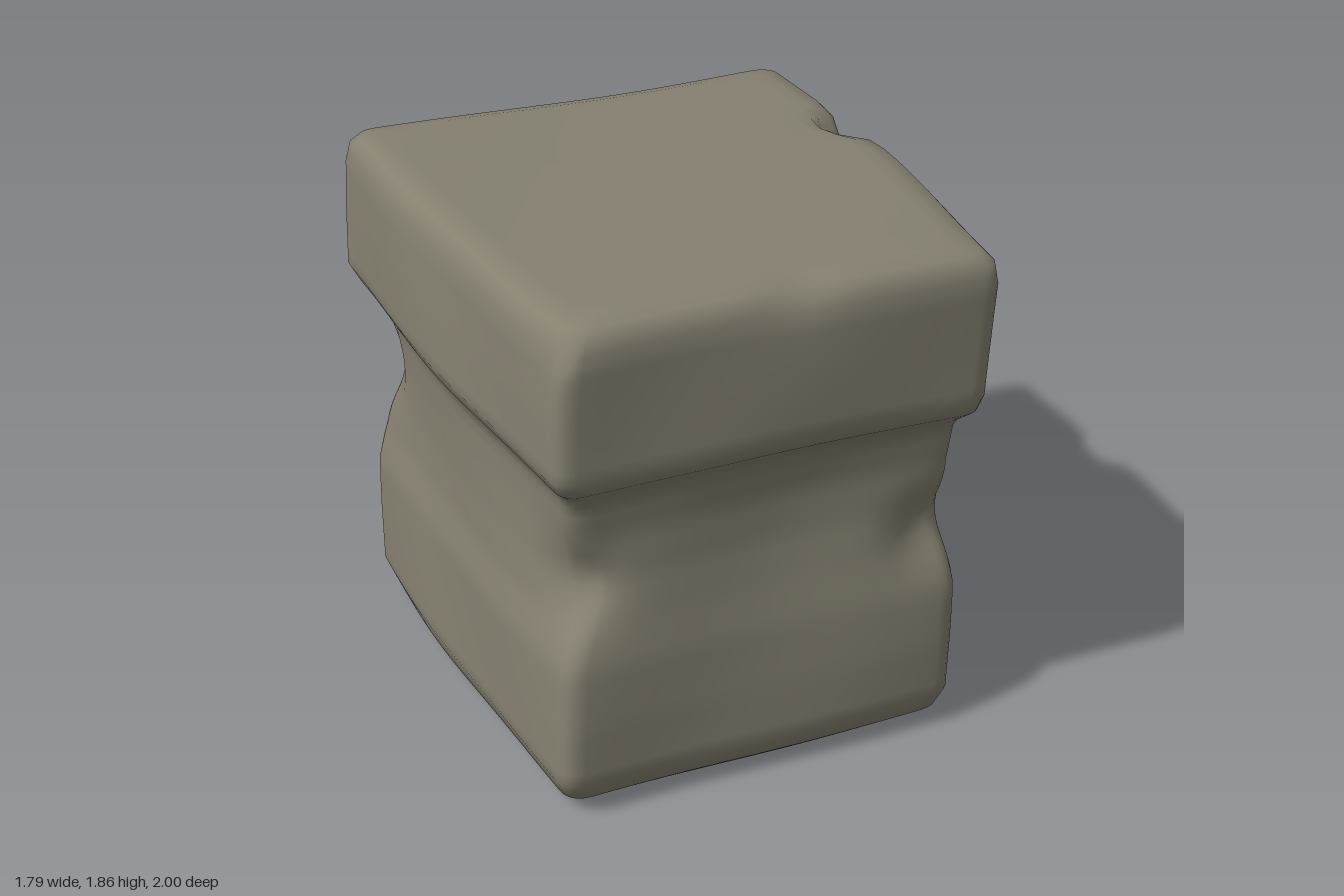
import * as THREE from 'three';

// Cross-sections going up: y, left x, right x (at back), front z, back z, corner radius, front-right inset
const ROWS = [
  [0.00, -0.70, 0.66, 0.74, -0.74, 0.10, 0.12],
  [0.02, -0.78, 0.73, 0.83, -0.81, 0.10, 0.12],
  [0.06, -0.83, 0.78, 0.88, -0.86, 0.09, 0.12],
  [0.14, -0.86, 0.80, 0.91, -0.89, 0.08, 0.12],
  [0.35, -0.855, 0.80, 0.91, -0.90, 0.08, 0.12],
  [0.57, -0.85, 0.80, 0.90, -0.89, 0.08, 0.12],
  [0.72, -0.82, 0.785, 0.88, -0.87, 0.08, 0.12],
  [0.88, -0.81, 0.76, 0.865, -0.85, 0.09, 0.11],
  [1.05, -0.81, 0.75, 0.865, -0.84, 0.09, 0.10],
  [1.18, -0.815, 0.775, 0.885, -0.865, 0.08, 0.12],
  [1.23, -0.83, 0.80, 0.92, -0.90, 0.08, 0.14],
  [1.28, -0.87, 0.85, 0.98, -0.96, 0.08, 0.16],
  [1.34, -0.90, 0.875, 1.00, -0.99, 0.08, 0.17],
  [1.55, -0.895, 0.89, 1.00, -1.00, 0.08, 0.17],
  [1.74, -0.885, 0.90, 1.00, -1.00, 0.08, 0.17],
  [1.81, -0.87, 0.89, 0.985, -0.985, 0.08, 0.17],
  [1.845, -0.845, 0.86, 0.955, -0.955, 0.09, 0.17],
  [1.86, -0.79, 0.80, 0.89, -0.89, 0.10, 0.17],
];

// Chips and worn corners: centre, radius, push
const DENTS = [
  [[-0.80, 0.86, 0.87], 0.19, [0.11, 0, -0.07]],
  [[0.59, 0.80, 0.87], 0.17, [-0.03, 0, -0.07]],
  [[0.86, 1.86, -0.25], 0.13, [-0.09, -0.07, 0]],
  [[-0.82, 1.00, -0.85], 0.20, [0.06, 0, 0.05]],
  [[0.76, 1.00, -0.84], 0.20, [-0.05, 0, 0.04]],
  [[0.00, 1.87, 0.96], 0.14, [0, -0.02, -0.02]],
  [[-0.86, 1.82, 0.97], 0.10, [0.03, -0.02, -0.03]],
  [[0.00, 1.02, 0.87], 0.40, [0, 0, -0.02]],
];

const EDGE = 16, ARC = 5;

// Rounded, slightly skewed four-sided outline
function outline([y, l, r, f, b, rad, inset]) {
  const corners = [
    new THREE.Vector3(l + 0.05, y, f - 0.03), new THREE.Vector3(r - inset, y, f),
    new THREE.Vector3(r, y, b + 0.04), new THREE.Vector3(l + 0.02, y, b),
  ];
  const bulge = [0, 0.045, 0, 0.025];
  const pts = [];
  corners.forEach((c, i) => {
    const next = corners[(i + 1) % 4], prev = corners[(i + 3) % 4];
    const toNext = next.clone().sub(c).normalize(), toPrev = prev.clone().sub(c).normalize();
    const start = c.clone().addScaledVector(toPrev, rad), end = c.clone().addScaledVector(toNext, rad);
    const arc = new THREE.QuadraticBezierCurve3(start, c, end);
    for (let k = 0; k < ARC; k++) pts.push(arc.getPoint(k / ARC));
    const stop = next.clone().addScaledVector(toNext, -rad);
    const out = new THREE.Vector3(-toNext.z, 0, toNext.x);
    for (let k = 0; k < EDGE; k++) {
      const t = k / EDGE;
      pts.push(end.clone().lerp(stop, t).addScaledVector(out, bulge[i] * Math.sin(Math.PI * t)));
    }
  });
  return pts;
}

// Wear: gentle unevenness and local chips
function weather(p) {
  const { x, y, z } = p;
  p.x += 0.006 * Math.sin(5 * z + 4 * y);
  p.z += 0.006 * Math.sin(5 * x - 4 * y + 1);
  if (y > 0.03) p.y += 0.008 * Math.sin(3 * x + 2 * z) * Math.min(1, y);
  for (const [c, radius, push] of DENTS) {
    const d2 = (x - c[0]) ** 2 + (y - c[1]) ** 2 + (z - c[2]) ** 2;
    p.addScaledVector(new THREE.Vector3(...push), Math.exp(-d2 / (radius * radius) * 1.6));
  }
  p.y = THREE.MathUtils.clamp(p.y, 0, 1.86);
  return p;
}

function blockGeometry() {
  const rings = [];
  const shrink = (pts, s) => pts.map(p => new THREE.Vector3(p.x * s, p.y, p.z * s));
  const caps = [0, 0.2, 0.4, 0.6, 0.75, 0.86, 0.94];

  // underside, walls, then top
  const base = outline(ROWS[0]);
  caps.forEach(s => rings.push(shrink(base, s)));
  for (let i = 0; i < ROWS.length - 1; i++) {
    const steps = Math.max(1, Math.round((ROWS[i + 1][0] - ROWS[i][0]) / 0.04));
    for (let k = 0; k < steps; k++) {
      rings.push(outline(ROWS[i].map((v, j) => THREE.MathUtils.lerp(v, ROWS[i + 1][j], k / steps))));
    }
  }
  const top = outline(ROWS[ROWS.length - 1]);
  [1, ...caps.slice().reverse()].forEach(s => rings.push(shrink(top, s)));

  const n = base.length, positions = [], index = [];
  rings.forEach(ring => ring.forEach(p => positions.push(...weather(p).toArray())));
  for (let i = 0; i < rings.length - 1; i++) {
    for (let j = 0; j < n; j++) {
      const a = i * n + j, b = i * n + (j + 1) % n, c = b + n, d = a + n;
      if (i > 0) index.push(a, b, c);
      else index.push(a, c, d);
      if (i > 0 && i < rings.length - 2) index.push(a, c, d);
    }
  }
  const geometry = new THREE.BufferGeometry();
  geometry.setAttribute('position', new THREE.Float32BufferAttribute(positions, 3));
  geometry.setIndex(index);
  geometry.computeVertexNormals();

  // flat poles: give the coincident centre points a straight normal
  const normal = geometry.attributes.normal;
  for (let j = 0; j < n; j++) {
    normal.setXYZ(j, 0, -1, 0);
    normal.setXYZ((rings.length - 1) * n + j, 0, 1, 0);
  }
  return geometry;
}

export function createModel() {
  const stone = new THREE.MeshStandardMaterial({ color: 0x858070 });
  stone.name = 'stone';
  const block = new THREE.Mesh(blockGeometry(), stone);
  block.name = 'stonePedestal';
  const group = new THREE.Group();
  group.name = 'stoneBlock';
  group.add(block);
  return group;
}
